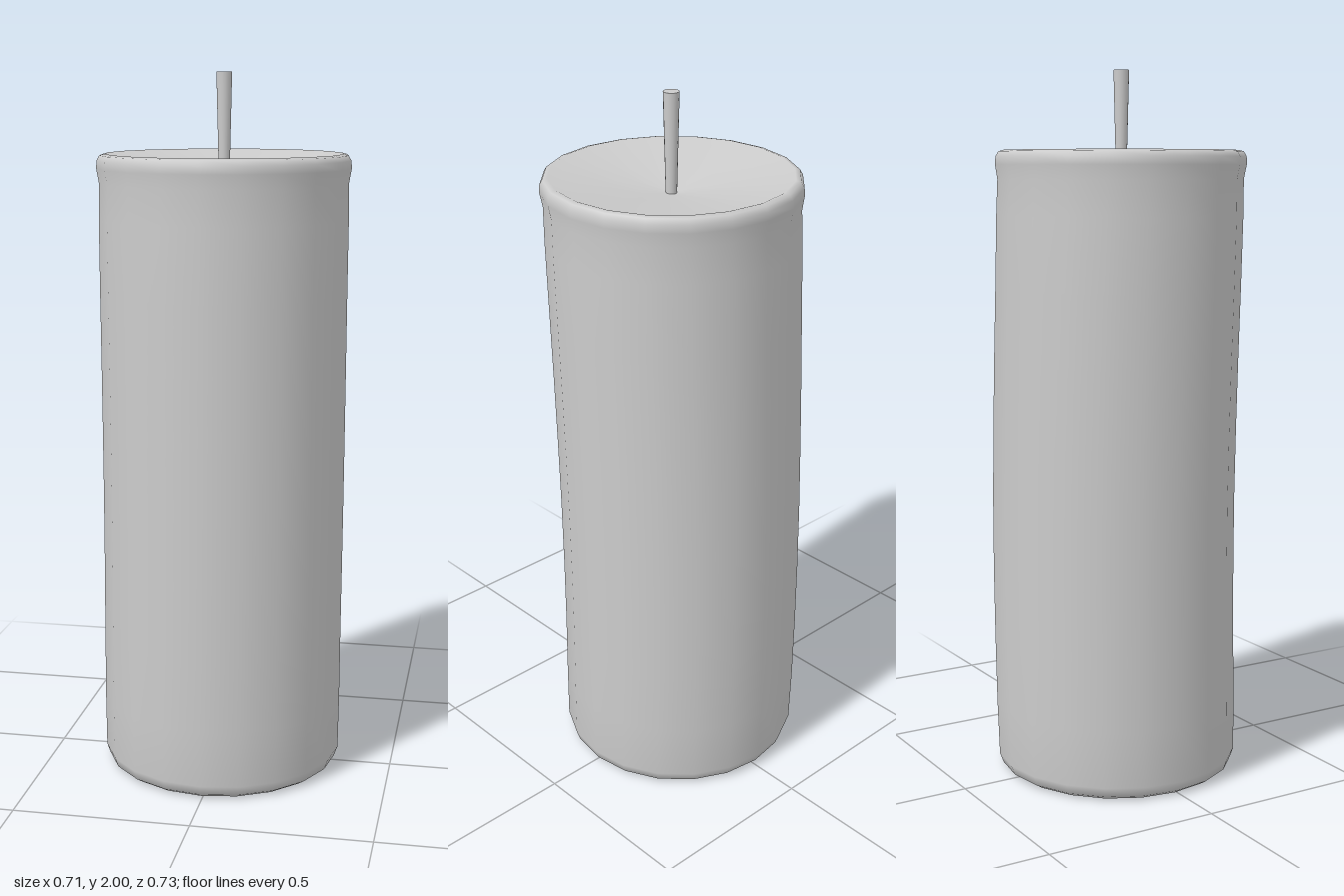
import * as THREE from 'three';

const SIDES = 20;

// Gently bowed centre line of the candle
const spine = new THREE.CatmullRomCurve3([
  [-0.005, 0, -0.006], [-0.005, 0.36, -0.014], [-0.003, 0.72, -0.016],
  [-0.001, 1.08, -0.009], [0.001, 1.44, 0.003], [0.004, 1.8, 0.014],
].map((p) => new THREE.Vector3(...p)));

// Shift every level of a geometry onto the centre line
function bow(geometry) {
  const pos = geometry.attributes.position;
  for (let i = 0; i < pos.count; i++) {
    const c = spine.getPoint(THREE.MathUtils.clamp(pos.getY(i) / 1.8, 0, 1));
    pos.setX(i, pos.getX(i) + c.x);
    pos.setZ(i, pos.getZ(i) + c.z);
  }
  return geometry;
}

function lathe(points, sides) {
  return new THREE.LatheGeometry(points.map(([r, y]) => new THREE.Vector2(r, y)), sides);
}

export function createModel() {
  const group = new THREE.Group();
  const material = new THREE.MeshStandardMaterial({ color: 0xcccccc });
  const add = (name, geometry) => {
    const mesh = new THREE.Mesh(geometry, material);
    mesh.name = name;
    group.add(mesh);
  };

  // Wax body: rounded foot, long wall, soft rim and dished top
  const wall = [[0.32, 0], [0.338, 0.012], [0.348, 0.04]];
  for (let y = 0.2; y < 1.7; y += 0.2) wall.push([0.35, y]);
  wall.push([0.348, 1.7], [0.355, 1.74], [0.354, 1.762], [0.346, 1.776], [0.332, 1.78],
    [0.3, 1.768], [0, 1.724]);
  add('waxBody', bow(lathe(wall, SIDES)));

  // Flat underside
  add('waxBase', bow(lathe([[0, 0], [0.32, 0]], SIDES)));

  // Wick, widening slightly towards its flat tip
  const wick = new THREE.CylinderGeometry(0.022, 0.015, 0.29, 16);
  wick.translate(0.004, 1.855, 0.016);
  add('wick', wick);

  return group;
}
